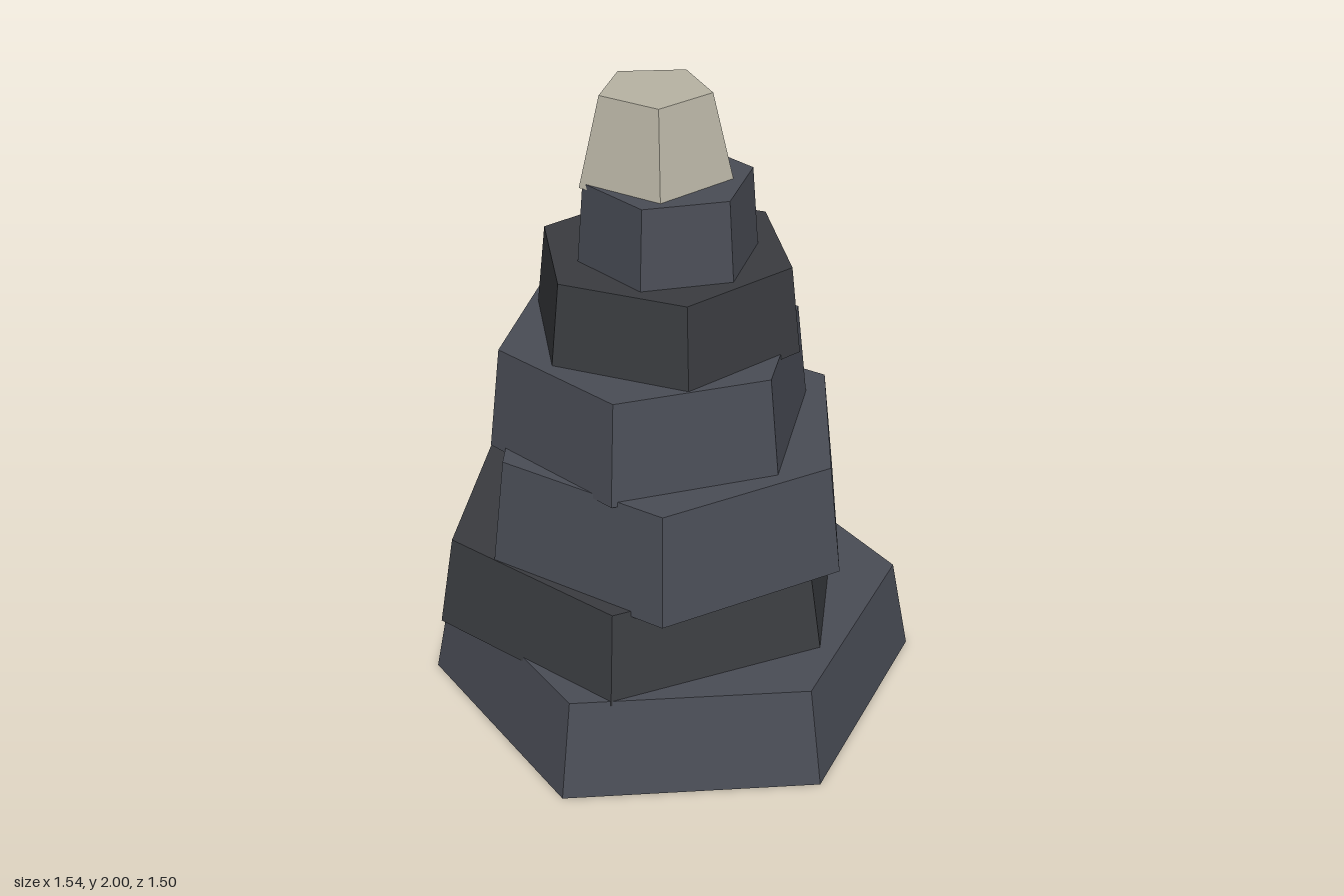
import * as THREE from 'three';

const LIGHT = 0x4a4d56, DARK = 0x3a3c40, PALE = 0xb8b4a4;

// Each block: name, sides, centre x, centre z, base radius, top/base ratio,
// angle of first corner (degrees from +x towards +z), bottom y, top y, color
const BLOCKS = [
  ['baseTier', 6, 0, 0, 0.787, 0.92, 12.4, 0, 0.32, LIGHT],
  ['secondTier', 6, -0.08, -0.065, 0.693, 0.925, -5.4, 0.305, 0.6, DARK],
  ['thirdTier', 6, -0.02, 0.022, 0.608, 0.925, -11, 0.583, 0.938, LIGHT],
  ['fourthTier', 6, -0.07, -0.003, 0.51, 0.925, -0.3, 0.923, 1.245, LIGHT],
  ['fifthTier', 6, -0.02, -0.02, 0.426, 0.925, -22, 1.228, 1.5, DARK],
  ['sixthTier', 6, -0.022, 0.018, 0.273, 0.925, 4, 1.488, 1.745, LIGHT],
  ['paleCap', 5, -0.05, -0.022, 0.235, 0.72, 31, 1.73, 2, PALE],
];

// Tapered prism standing on y = bottom
function makeBlock([name, sides, x, z, radius, taper, angle, bottom, top, color]) {
  const start = THREE.MathUtils.degToRad(90 - angle);
  const geometry = new THREE.CylinderGeometry(radius * taper, radius, top - bottom, sides, 1, false, start);
  const material = new THREE.MeshStandardMaterial({ color, flatShading: true });
  const mesh = new THREE.Mesh(geometry, material);
  mesh.name = name;
  mesh.position.set(x, (bottom + top) / 2, z);
  return mesh;
}

export function createModel() {
  const group = new THREE.Group();
  group.name = 'steppedRockSpire';
  for (const block of BLOCKS) group.add(makeBlock(block));
  return group;
}
